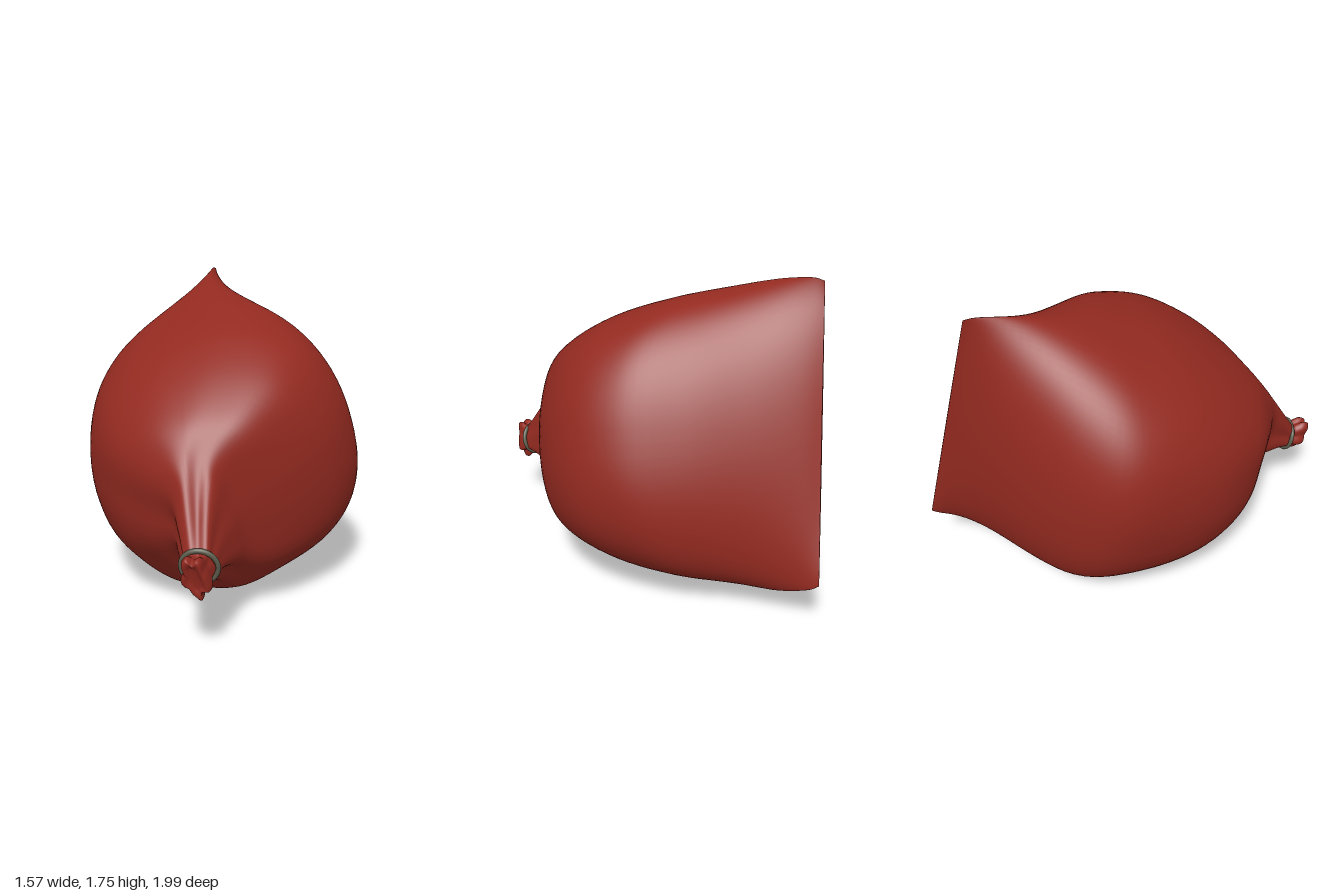
import * as THREE from 'three';

// Sack frame: A runs from the tied neck to the sewn edge, S down along the sewn edge, W across
const O = new THREE.Vector3(0, 0.78, -0.05);
const A = new THREE.Vector3(0.46, 0.26, -0.85).normalize();
const S = new THREE.Vector3(0.306, -0.951, -0.046);
S.addScaledVector(A, -S.dot(A)).normalize();
const W = new THREE.Vector3().crossVectors(A, S);
const place = (s, u, w) =>
  O.clone().addScaledVector(A, s).addScaledVector(S, u).addScaledVector(W, w);

// Stations: distance along A, then reach up, down, left, right, and fold depth
const BODY = [
  [-1.08, 0.065, 0.115, 0.075, 0.085, 0.08],
  [-0.95, 0.18, 0.185, 0.11, 0.11, 0.08],
  [-0.82, 0.30, 0.295, 0.17, 0.15, 0.06],
  [-0.70, 0.41, 0.43, 0.37, 0.21, 0.035],
  [-0.55, 0.52, 0.555, 0.56, 0.42, 0.02],
  [-0.30, 0.635, 0.665, 0.72, 0.65, 0.01],
  [0.00, 0.725, 0.745, 0.80, 0.75, 0.005],
  [0.30, 0.765, 0.785, 0.80, 0.69, 0],
  [0.55, 0.79, 0.81, 0.64, 0.51, 0],
  [0.80, 0.80, 0.83, 0.36, 0.28, 0],
  [1.00, 0.785, 0.81, 0.11, 0.09, 0],
  [1.08, 0.757, 0.78, 0.003, 0.003, 0],
];
const TUFT = [
  [-1.175, 0.04, 0.08, 0.02, 0.02, 0],
  [-1.19, 0.08, 0.12, 0.05, 0.05, 0.14],
  [-1.15, 0.09, 0.135, 0.065, 0.065, 0.13],
  [-1.10, 0.055, 0.105, 0.06, 0.065, 0.11],
  [-1.06, 0.065, 0.115, 0.07, 0.08, 0.08],
];

// Smooth interpolation between stations
function sample(rows, t) {
  const f = t * (rows.length - 1);
  const i = Math.min(Math.floor(f), rows.length - 2), k = f - i;
  const at = (j) => rows[Math.max(0, Math.min(rows.length - 1, j))];
  return rows[0].map((_, c) => {
    const [a, b, d, e] = [at(i - 1)[c], at(i)[c], at(i + 1)[c], at(i + 2)[c]];
    return b + 0.5 * k * (d - a + k * (2 * a - 5 * b + 4 * d - e + k * (3 * (b - d) + e - a)));
  });
}

// Loft of soft rings that flatten into a pointed lens near the sewn edge
function loft(rows, rings, sides, capped) {
  const pos = [], index = [];
  for (let i = 0; i <= rings; i++) {
    const [s, up, down, left, right, fold] = sample(rows, i / rings);
    const pinch = THREE.MathUtils.smoothstep(s, 0.3, 1.05);
    const full = 1 - 0.15 * THREE.MathUtils.smoothstep(s, -0.8, -0.5);
    const eu = full + (1 - full) * pinch;
    const ew = full + 0.6 * pinch;
    for (let j = 0; j < sides; j++) {
      const a = (j / sides) * Math.PI * 2;
      const c = Math.cos(a), n = Math.sin(a);
      const r = 1 + fold * (Math.sin(5 * a + 0.6) + 0.5 * Math.sin(8 * a + 2));
      const u = (down - up) / 2 + ((down + up) / 2) * Math.sign(c) * Math.abs(c) ** eu * r;
      const w = (n > 0 ? left : right) * Math.sign(n) * Math.abs(n) ** ew * r;
      const slant = -0.065 * u * pinch;
      pos.push(...place(s + slant, u, w).toArray());
    }
  }
  for (let i = 0; i < rings; i++) {
    for (let j = 0; j < sides; j++) {
      const a = i * sides + j, b = i * sides + ((j + 1) % sides);
      index.push(a, b, a + sides, b, b + sides, a + sides);
    }
  }
  if (capped) {
    const [s, up, down] = rows[0];
    const tip = pos.length / 3;
    pos.push(...place(s, (down - up) / 2, 0).toArray());
    for (let j = 0; j < sides; j++) index.push(tip, (j + 1) % sides, j);
  }
  const g = new THREE.BufferGeometry();
  g.setAttribute('position', new THREE.Float32BufferAttribute(pos, 3));
  g.setIndex(index);
  g.computeVertexNormals();
  return g;
}

export function createModel() {
  const group = new THREE.Group();
  const cloth = new THREE.MeshStandardMaterial({ color: 0x932a20, side: THREE.DoubleSide });
  cloth.name = 'red cloth';
  const cord = new THREE.MeshStandardMaterial({ color: 0x5e5e4e });
  cord.name = 'grey cord';

  const add = (name, geometry, material) => {
    const mesh = new THREE.Mesh(geometry, material);
    mesh.name = name;
    group.add(mesh);
    return mesh;
  };

  // Filled sack with its pinched neck, and the gathered cloth beyond the tie
  add('sackBody', loft(BODY, 66, 96, false), cloth);
  add('neckTuft', loft(TUFT, 16, 48, true), cloth);

  // Tie around the neck
  const tie = add('neckTie', new THREE.TorusGeometry(0.092, 0.013, 10, 40), cord);
  tie.position.copy(place(-1.075, 0.025, -0.005));
  tie.quaternion.setFromUnitVectors(new THREE.Vector3(0, 0, 1), A);

  // Stand on the ground
  group.position.y = -new THREE.Box3().setFromObject(group, true).min.y;
  return group;
}
